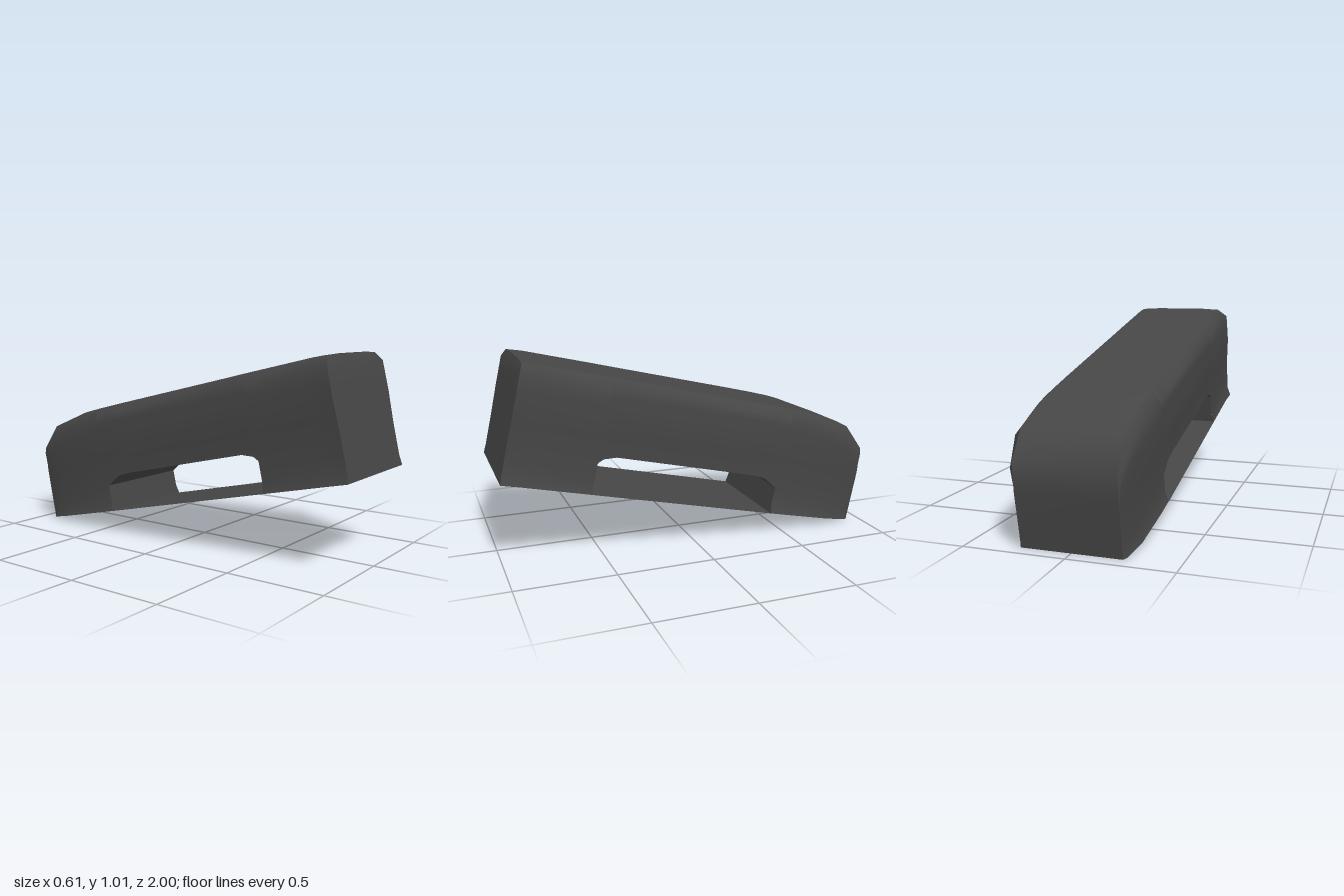
import * as THREE from 'three';

// Stations from front to rear: [u along body, roof height, lower edge, width factor]
const FRONT = [[0, 0.578, 0, 1.02], [-0.09, 0.584, 0, 1], [-0.45, 0.583, 0, 1]];
const MIDDLE = [[-0.45, 0.583, 0.156, 1], [-0.475, 0.583, 0.18, 1], [-0.54, 0.582, 0.197, 1],
  [-1.29, 0.578, 0.194, 1], [-1.37, 0.577, 0.187, 1], [-1.455, 0.576, 0.141, 0.995]];
const REAR = [[-1.455, 0.576, 0, 0.995], [-1.57, 0.572, 0, 0.99], [-1.83, 0.531, 0, 0.955],
  [-1.955, 0.42, 0, 0.87], [-1.973, 0.28, 0, 0.84], [-1.98, 0, 0, 0.81]];

// Half width of the body at height v: a flared lip, a slight waist and a shoulder
const PROFILE = [[0, 0.297], [0.05, 0.282], [0.22, 0.282], [0.38, 0.293], [0.535, 0.288]];
function halfWidth(v) {
  for (let i = 1; i < PROFILE.length; i++) {
    const [v0, w0] = PROFILE[i - 1], [v1, w1] = PROFILE[i];
    if (v <= v1) return w0 + (w1 - w0) * (v - v0) / (v1 - v0);
  }
  return 0.288;
}

// Side section of one station, from the lower edge up to the roof crease
function sideRow([u, top, low, f], sign) {
  const shoulder = top * 0.915;
  const row = [0, 0.095, 0.25, 0.41, 0.56, 0.71, 0.86, 1].map((k) => {
    const v = low + (shoulder - low) * k;
    return [sign * Math.max(halfWidth(v) * f, 0.238), v, u];
  });
  row.push([sign * 0.243, top * 0.99, u === 0 ? -0.01 : u]);
  return row;
}

// Surface through rows of points
function grid(rows, flip = false) {
  const n = rows[0].length, index = [];
  for (let i = 0; i < rows.length - 1; i++) {
    for (let j = 0; j < n - 1; j++) {
      const a = i * n + j, b = a + n, c = b + 1, d = a + 1;
      index.push(...(flip ? [a, d, b, b, d, c] : [a, b, d, b, c, d]));
    }
  }
  const g = new THREE.BufferGeometry();
  g.setAttribute('position', new THREE.Float32BufferAttribute(rows.flat(2), 3));
  g.setIndex(index);
  g.computeVertexNormals();
  return g;
}

export function createModel() {
  const material = new THREE.MeshStandardMaterial({ color: 0x464646, side: THREE.DoubleSide });
  material.name = 'charcoal';
  const body = new THREE.Group();
  body.name = 'tiltedBody';
  const add = (name, geometry) => {
    const mesh = new THREE.Mesh(geometry, material);
    mesh.name = name;
    body.add(mesh);
  };

  // Side walls, arched over the opening
  for (const [sign, side] of [[1, 'left'], [-1, 'right']]) {
    for (const [part, stations] of [['Front', FRONT], ['Middle', MIDDLE], ['Rear', REAR]]) {
      add(`${side}Wall${part}`, grid(stations.map((s) => sideRow(s, sign)), sign < 0));
    }
  }

  // Roof panel running down into the rear wall
  const spine = [...FRONT, ...MIDDLE.slice(1, -1), ...REAR];
  add('roofAndRearWall', grid(spine.map(([u, t]) => {
    const z = u === 0 ? -0.01 : u;
    return [[0.243, t * 0.99, z], [0.14, t, z], [-0.14, t, z], [-0.243, t * 0.99, z]];
  })));

  // Flat front wall
  add('frontWall', grid(sideRow(FRONT[0], 1).concat([[0.14, 0.578, -0.01]])
    .map(([x, y, z]) => [[x, y, z], [-x, y, z]])));

  // Tunnel through the body: each strip is separate so its edges stay sharp
  const arch = [[-0.45, 0], [-0.45, 0.05], ...MIDDLE.map(([u, , low]) => [u, low]),
    [-1.455, 0.05], [-1.455, 0]];
  const across = ([u, v]) => [[halfWidth(v), v, u], [-halfWidth(v), v, u]];
  for (let i = 1; i < arch.length; i++) {
    add(`tunnelPanel${i}`, grid([across(arch[i - 1]), across(arch[i])], true));
  }

  // Thin floor plate under the tunnel
  add('floorPlate', grid([across([-0.45, 0]), across([-1.455, 0])]));

  // Tilt with the front end raised
  body.rotation.x = -0.2267;
  body.position.set(0, 0.446, 1);
  const model = new THREE.Group();
  model.name = 'hollowCover';
  model.add(body);
  return model;
}
